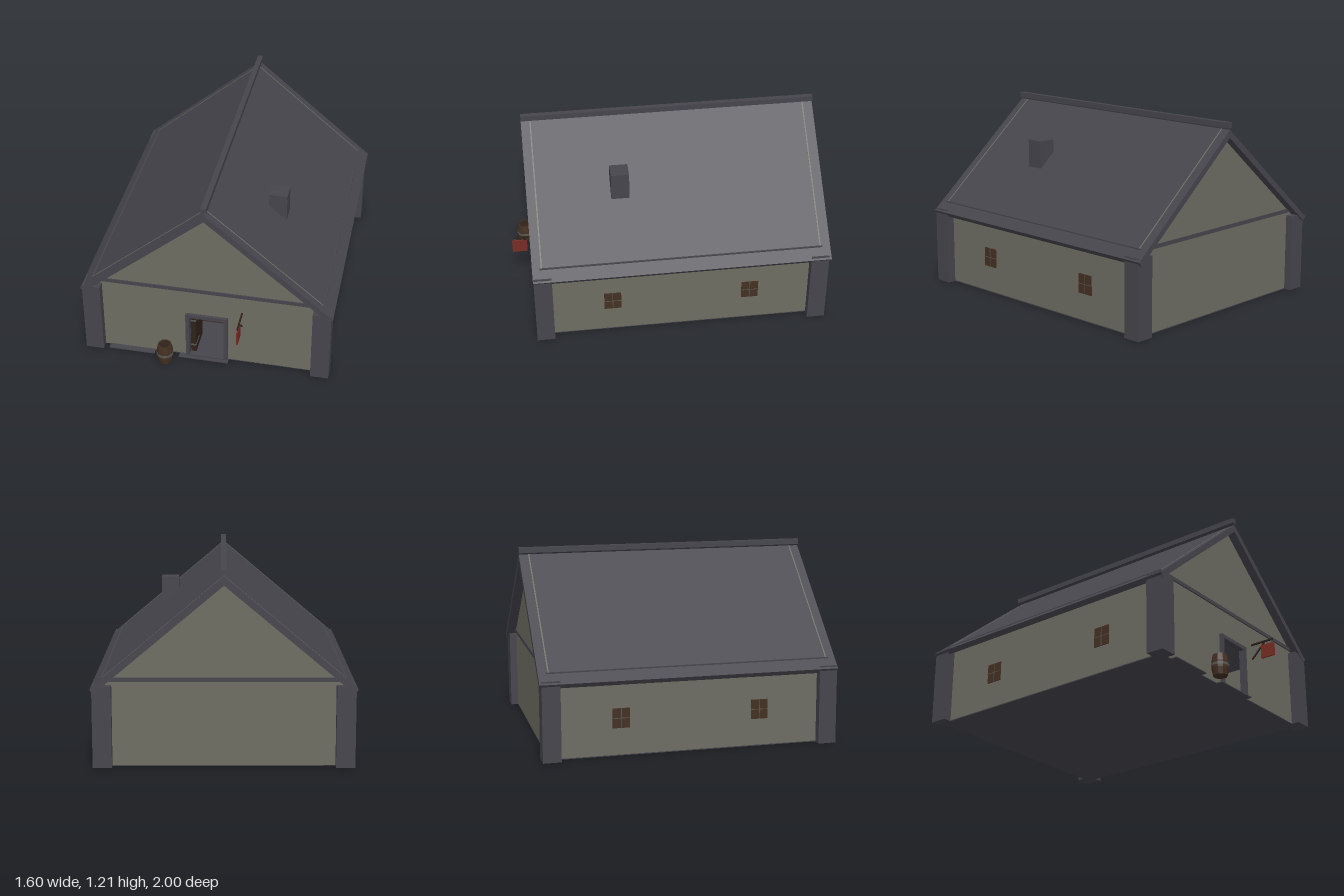
import * as THREE from 'three';

const mat = (name, color) => {
  const m = new THREE.MeshStandardMaterial({ color });
  m.name = name;
  return m;
};

export function createModel() {
  const plaster = mat('grey plaster', 0x6d6d63);
  const slate = mat('slate grey', 0x46454c);
  const wood = mat('brown wood', 0x443022);
  const darkWood = mat('dark wood', 0x2f221a);
  const red = mat('red paint', 0x782c24);
  const iron = mat('iron', 0x57554f);

  const house = new THREE.Group();
  house.name = 'house';
  const add = (name, geo, m, parent = house) => {
    const mesh = new THREE.Mesh(geo, m);
    mesh.name = name;
    parent.add(mesh);
    return mesh;
  };
  // Box given by its limits on each axis
  const box = (name, m, x0, x1, y0, y1, z0, z1, parent = house) => {
    const mesh = add(name, new THREE.BoxGeometry(x1 - x0, y1 - y0, z1 - z0), m, parent);
    mesh.position.set((x0 + x1) / 2, (y0 + y1) / 2, (z0 + z1) / 2);
    return mesh;
  };
  const outline = (pts) => new THREE.Shape(pts.map(([x, y]) => new THREE.Vector2(x, y)));
  const slab = (name, shape, depth, z, m) => {
    const mesh = add(name, new THREE.ExtrudeGeometry(shape, { depth, bevelEnabled: false }), m);
    mesh.position.z = z;
    return mesh;
  };

  // Floor and side walls
  box('floor', slate, -0.735, 0.735, 0, 0.006, -0.94, 0.83);
  for (const s of [-1, 1]) {
    const x = s * 0.725;
    box('sideWall', plaster, x - 0.01, x + 0.01, 0.006, 0.51, -0.935, 0.825);
  }

  // Gable walls, the front one with a doorway
  const gable = [[-0.735, 0], [0.735, 0], [0.735, 0.541], [0, 1.161], [-0.735, 0.541]];
  const front = outline(gable);
  front.holes.push(new THREE.Path([[-0.115, 0.01], [-0.115, 0.325], [0.115, 0.325], [0.115, 0.01]]
    .map(([x, y]) => new THREE.Vector2(x, y))));
  slab('frontWall', front, 0.008, 0.822, plaster);
  slab('backWall', outline(gable), 0.008, -0.94, plaster);

  // Tie beams round the top of the walls
  for (const z of [0.828, -0.938]) {
    box('tieBeam', slate, -0.737, 0.737, 0.522, 0.546, z - 0.01, z + 0.01);
  }
  for (const x of [-0.73, 0.73]) {
    box('wallPlate', slate, x - 0.007, x + 0.007, 0.522, 0.546, -0.94, 0.83);
  }

  // Corner posts
  for (const s of [-1, 1]) {
    for (const z of [0.825, -0.93]) {
      const x = s * 0.732;
      box('cornerPost', slate, x - 0.058, x + 0.058, 0, 0.502, z - 0.057, z + 0.057);
    }
  }

  // Roof, floating ridge beam and chimney
  slab('roof', outline([[0, 1.16], [-0.8, 0.485], [-0.78, 0.457], [0, 1.11], [0.78, 0.457], [0.8, 0.485]]),
    1.885, -1, slate);
  box('ridgeBeam', slate, -0.017, 0.017, 1.17, 1.205, -1, 0.885);
  box('chimney', slate, 0.305, 0.42, 0.78, 0.985, 0.24, 0.355);

  // Side windows: thin panes with glazing bars
  for (const s of [-1, 1]) {
    for (const z of [0.389, -0.493]) {
      const w = new THREE.Group();
      w.name = 'window';
      w.position.set(s * 0.737, 0.238, z);
      house.add(w);
      box('pane', wood, -0.004, 0.004, -0.062, 0.062, -0.054, 0.054, w);
      box('uprightBar', iron, -0.006, 0.006, -0.062, 0.062, -0.002, 0.002, w);
      box('crossBar', iron, -0.006, 0.006, -0.002, 0.002, -0.054, 0.054, w);
    }
  }

  // Door frame, threshold and door standing open
  for (const x of [-0.123, 0.123]) {
    box('doorJamb', slate, x - 0.012, x + 0.012, 0, 0.322, 0.81, 0.85);
  }
  box('doorLintel', slate, -0.135, 0.135, 0.322, 0.346, 0.81, 0.85);
  box('threshold', slate, -0.111, 0.111, 0, 0.016, 0.81, 0.85);
  box('doorStep', slate, -0.18, 0.14, 0, 0.006, 0.83, 0.87);
  box('pavingSlab', slate, -0.64, -0.34, 0, 0.006, 0.83, 0.87);
  box('door', darkWood, -0.11, -0.077, 0.01, 0.312, 0.62, 0.81);
  for (const y of [0.07, 0.27]) {
    box('hinge', iron, -0.112, -0.075, y - 0.006, y + 0.006, 0.72, 0.812);
  }

  // Counter, shelf and bottle indoors
  box('counter', wood, -0.3, 0.4, 0.006, 0.19, 0.38, 0.5);
  box('shelf', wood, -0.3, 0.4, 0.25, 0.26, 0.2, 0.28);
  const bottle = add('bottle', new THREE.CylinderGeometry(0.007, 0.009, 0.036, 8), red);
  bottle.position.set(0.025, 0.278, 0.24);

  // Barrel with an iron hoop
  const barrel = new THREE.Group();
  barrel.name = 'barrel';
  barrel.position.set(-0.258, 0, 0.912);
  house.add(barrel);
  const turned = (pts) => {
    const g = new THREE.LatheGeometry(pts.map(([r, y]) => new THREE.Vector2(r, y)), 10).toNonIndexed();
    g.computeVertexNormals();
    return g;
  };
  add('staves', turned([[0, 0], [0.044, 0], [0.052, 0.045], [0.052, 0.09], [0.044, 0.135], [0.038, 0.135], [0.038, 0.129]]),
    wood, barrel);
  add('hoop', turned([[0.05, 0.059], [0.0545, 0.059], [0.0545, 0.076], [0.05, 0.076]]), iron, barrel);
  const lid = add('lid', new THREE.CylinderGeometry(0.039, 0.039, 0.004, 10), darkWood, barrel);
  lid.position.y = 0.128;

  // Hanging sign on a braced pole
  box('signPole', darkWood, 0.221, 0.231, 0.394, 0.404, 0.83, 0.99);
  const brace = box('signBrace', darkWood, 0.222, 0.23, 0.341, 0.349, 0.815, 0.945);
  brace.rotation.x = -Math.PI / 4;
  box('signBoard', red, 0.221, 0.231, 0.287, 0.376, 0.903, 1);
  for (const z of [0.92, 0.98]) {
    box('signHook', iron, 0.224, 0.228, 0.374, 0.396, z - 0.002, z + 0.002);
  }

  return house;
}
